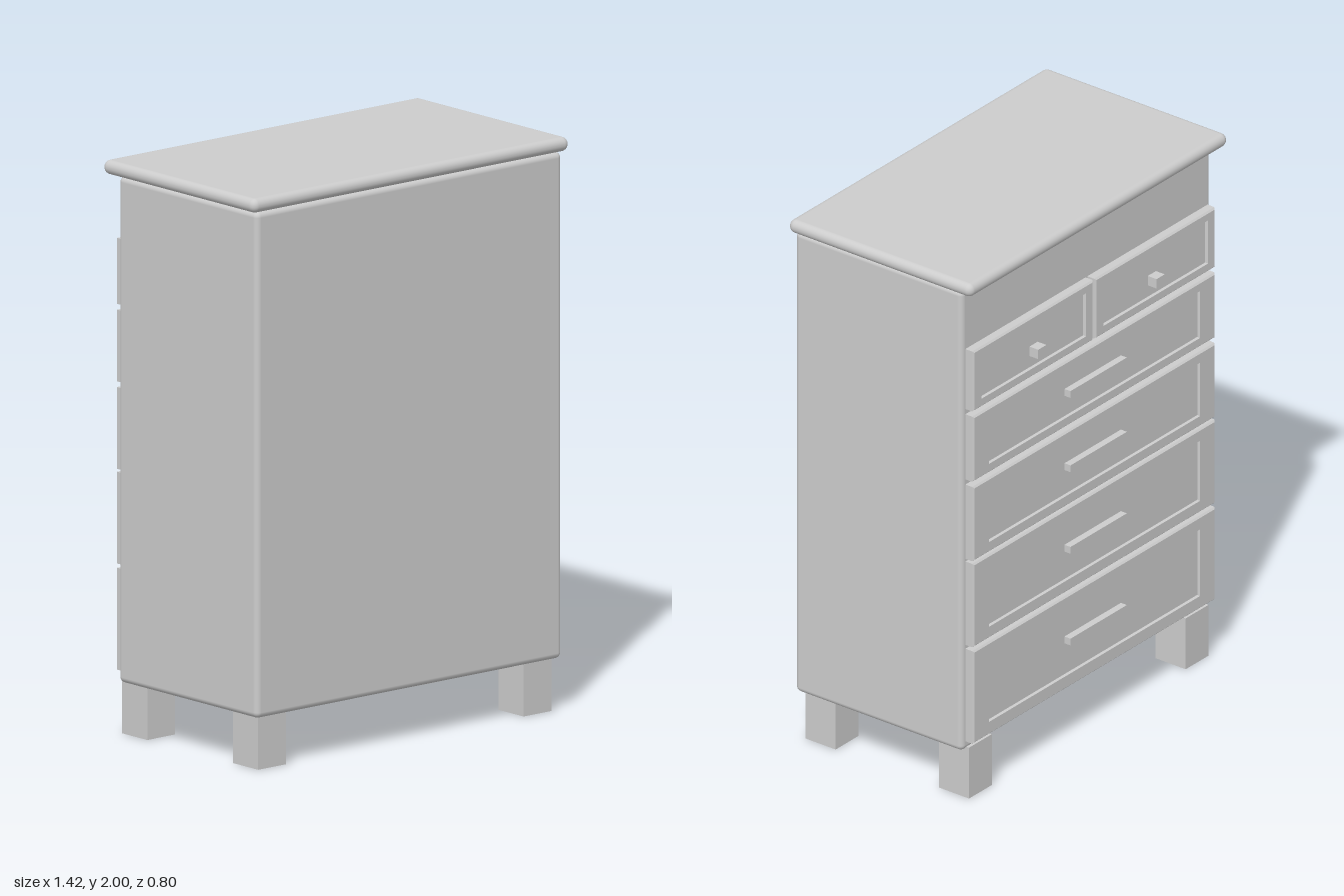
import * as THREE from 'three';
import { RoundedBoxGeometry } from 'three/addons/geometries/RoundedBoxGeometry.js';

const paint = new THREE.MeshStandardMaterial({ color: 0xcccccc });
paint.name = 'grey paint';

function add(parent, name, geometry, x, y, z) {
  const mesh = new THREE.Mesh(geometry, paint);
  mesh.name = name;
  mesh.position.set(x, y, z);
  parent.add(mesh);
  return mesh;
}

// Drawer front facing +z: nested rectangles joined into a bevelled slab with a sunken panel
function drawerGeometry(w, h) {
  const rings = [ // inset x, inset y, z
    [0, 0, -0.005], [0, 0, 0.029], [0.006, 0.006, 0.035],
    [w * 0.065, h * 0.14, 0.035], [w * 0.065 + 0.004, h * 0.14 + 0.004, 0.027],
  ].map(([ix, iy, z]) => {
    const x = w / 2 - ix, y = h / 2 - iy;
    return [[-x, -y, z], [x, -y, z], [x, y, z], [-x, y, z]];
  });
  const points = [];
  const quad = (a, b, c, d) => points.push(...a, ...b, ...c, ...a, ...c, ...d);
  for (let r = 0; r < rings.length - 1; r++) {
    for (let i = 0; i < 4; i++) {
      const j = (i + 1) % 4;
      quad(rings[r][i], rings[r][j], rings[r + 1][j], rings[r + 1][i]);
    }
  }
  quad(...rings[rings.length - 1]);
  const geometry = new THREE.BufferGeometry();
  geometry.setAttribute('position', new THREE.Float32BufferAttribute(points, 3));
  geometry.computeVertexNormals();
  return geometry;
}

export function createModel() {
  const model = new THREE.Group();
  model.name = 'chestOfDrawers';

  // Carcass and overhanging top
  add(model, 'body', new RoundedBoxGeometry(1.37, 1.765, 0.72, 3, 0.02), 0, 1.067, 0.025);
  add(model, 'top', new RoundedBoxGeometry(1.42, 0.05, 0.79, 4, 0.0245), 0, 1.975, 0.003);

  // Square legs
  for (const x of [-0.595, 0.595]) {
    for (const z of [0.295, -0.28]) {
      add(model, 'leg', new THREE.BoxGeometry(0.125, 0.195, 0.13), x, 0.0975, z);
    }
  }

  // Drawers sit on the -z side
  const addDrawer = (x, w, y0, y1) => {
    const drawer = add(model, 'drawer', drawerGeometry(w, y1 - y0), x, (y0 + y1) / 2, -0.335);
    drawer.rotation.y = Math.PI;
  };

  // Upper pair with knobs
  for (const side of [-1, 1]) {
    addDrawer(side * 0.335, 0.66, 1.495, 1.725);
    add(model, 'knob', new THREE.BoxGeometry(0.045, 0.036, 0.04), side * 0.325, 1.593, -0.38);
  }

  // Wide drawers with bar handles: bottom, top, handle height
  for (const [y0, y1, handleY] of [
    [1.225, 1.475, 1.355], [0.92, 1.205, 1.07], [0.59, 0.91, 0.757], [0.22, 0.575, 0.405],
  ]) {
    addDrawer(0, 1.33, y0, y1);
    add(model, 'handle', new THREE.BoxGeometry(0.31, 0.026, 0.03), 0, handleY, -0.373);
  }

  return model;
}
